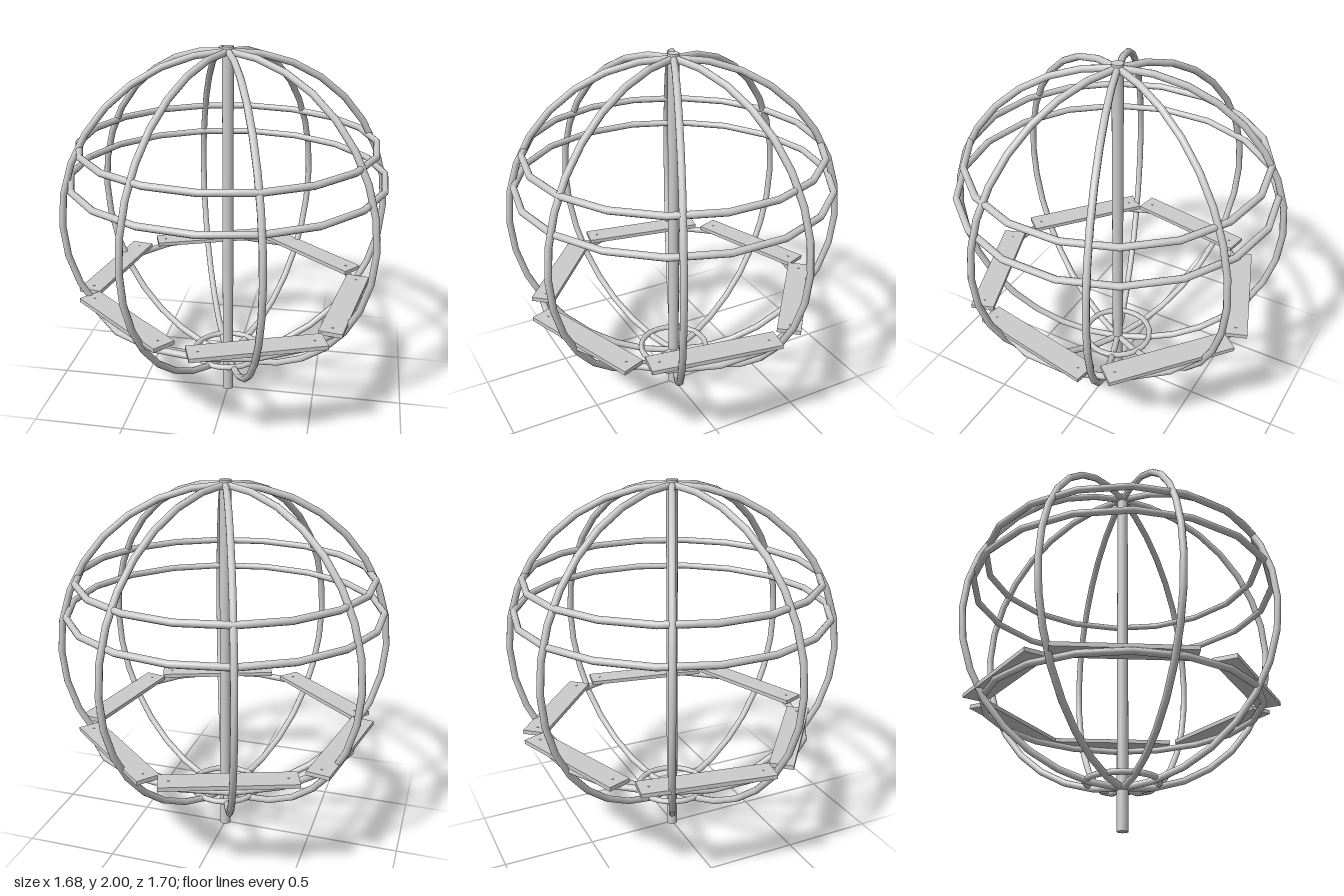
import * as THREE from 'three';

const TUBE = 0.018;
const material = new THREE.MeshStandardMaterial({ color: 0xcccccc });
const deg = THREE.MathUtils.degToRad;

function addMesh(parent, name, geometry) {
  const mesh = new THREE.Mesh(geometry, material);
  mesh.name = name;
  parent.add(mesh);
  return mesh;
}

// Upright ring of bent pipe with one corner pointing straight up
function ringGeometry(radius, tube, segments) {
  return new THREE.TorusGeometry(radius, tube, 10, segments).rotateZ(Math.PI / 2);
}

// Seat plank with a bolt head near each end
function createPlank(inner, slide) {
  const plank = new THREE.Group();
  plank.name = 'seat';
  const x = inner + 0.0625;
  addMesh(plank, 'seatBoard', new THREE.BoxGeometry(0.125, 0.022, 0.685)).position.set(x, 0, slide);
  for (const side of [-1, 1]) {
    const bolt = addMesh(plank, 'seatBolt', new THREE.CylinderGeometry(0.006, 0.006, 0.004, 8));
    bolt.position.set(x, 0.012, slide + side * 0.29);
  }
  return plank;
}

export function createModel() {
  const model = new THREE.Group();
  model.name = 'climbingGlobe';

  // Centre pole
  addMesh(model, 'centrePole', new THREE.CylinderGeometry(0.03, 0.03, 2, 16)).position.y = 1;

  // Four full upright rings, crossing at the poles of the globe
  for (let i = 0; i < 4; i++) {
    const ring = addMesh(model, 'uprightRing', ringGeometry(0.877, TUBE, 32));
    ring.position.y = 1.097;
    ring.rotation.y = deg(20 + 45 * i);
  }

  // Level rings: name, radius, height, pipe radius, segments
  const levels = [
    ['upperRing', 0.775, 1.505, TUBE, 18],
    ['middleRing', 0.83, 1.33, TUBE, 18],
    ['seatRing', 0.735, 0.645, TUBE, 18],
    ['baseRing', 0.19, 0.252, 0.016, 32],
  ];
  for (const [name, radius, height, tube, segments] of levels) {
    const geometry = ringGeometry(radius, tube, segments).rotateX(Math.PI / 2);
    addMesh(model, name, geometry).position.y = height;
  }

  // Six planks laid a little unevenly on the seat ring: angle, inner edge distance, slide along
  const planks = [
    [50, 0.613, -0.02],
    [110, 0.62, 0.015],
    [170, 0.628, 0.01],
    [230, 0.603, 0.035],
    [290, 0.625, -0.02],
    [350, 0.603, 0],
  ];
  for (const [angle, inner, slide] of planks) {
    const plank = createPlank(inner, slide);
    plank.position.y = 0.673;
    plank.rotation.y = deg(angle);
    model.add(plank);
  }

  return model;
}
